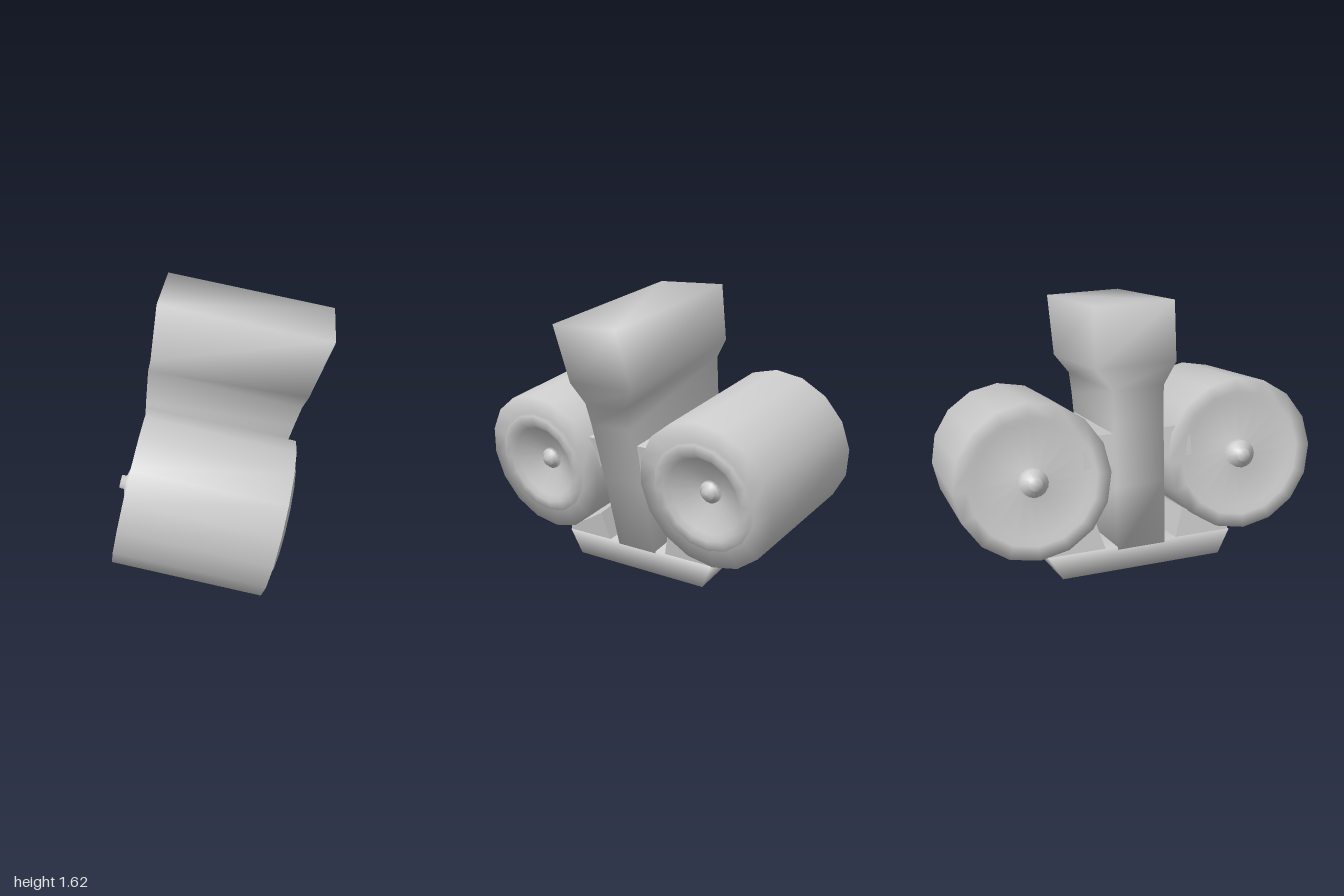
import * as THREE from 'three';

const TILT = THREE.MathUtils.degToRad(-12.5);
const CENTRE = new THREE.Vector3(-0.09, 0.665, 0);
const material = new THREE.MeshStandardMaterial({ color: 0xcccccc });

function addMesh(parent, name, geometry) {
  const mesh = new THREE.Mesh(geometry, material);
  mesh.name = name;
  parent.add(mesh);
  return mesh;
}

// Smooth four-sided loft; each level is [leftX, leftY, rightX, rightY, halfWidth], bottom to top
function loft(levels) {
  const pos = [], index = [];
  for (const [xl, yl, xr, yr, w] of levels) {
    pos.push(xl, yl, w, xr, yr, w, xr, yr, -w, xl, yl, -w);
  }
  const quad = (a, b, c, d) => index.push(a, b, c, a, c, d);
  for (let i = 0; i < levels.length - 1; i++) {
    for (let j = 0; j < 4; j++) {
      const k = (j + 1) % 4;
      quad(i * 4 + j, i * 4 + k, i * 4 + 4 + k, i * 4 + 4 + j);
    }
  }
  const t = (levels.length - 1) * 4;
  quad(3, 2, 1, 0);
  quad(t, t + 1, t + 2, t + 3);
  const g = new THREE.BufferGeometry();
  g.setAttribute('position', new THREE.Float32BufferAttribute(pos, 3));
  g.setIndex(index);
  g.computeVertexNormals();
  return g;
}

// Wedge between foot and drum, sheared to follow the slope of the foot
function cradleGeometry() {
  const wedge = new THREE.Shape();
  wedge.moveTo(0.2, 0);
  wedge.lineTo(0.25, 0.17);
  wedge.lineTo(0.36, 0.11);
  wedge.lineTo(0.515, 0.04);
  wedge.lineTo(0.515, 0);
  const g = new THREE.ExtrudeGeometry(wedge, { depth: 0.64, bevelEnabled: false });
  const p = g.attributes.position;
  for (let i = 0; i < p.count; i++) {
    const z = p.getX(i), y = p.getY(i), along = p.getZ(i);
    p.setXYZ(i, 0.135 - along + y * 0.2, 0.13 + y + along * 0.265, z);
  }
  g.computeVertexNormals();
  return g;
}

export function createModel() {
  const model = new THREE.Group();
  model.name = 'twinDrumBracket';

  // Upright fin flaring into the wide head
  addMesh(model, 'uprightAndHead', loft([
    [-0.515, 0.26, 0.13, 0.10, 0.135],
    [-0.485, 0.66, 0.26, 0.55, 0.135],
    [-0.455, 1.00, 0.365, 0.88, 0.135],
    [-0.435, 1.19, 0.405, 1.00, 0.14],
    [-0.405, 1.30, 0.44, 1.11, 0.22],
    [-0.36, 1.62, 0.565, 1.44, 0.22],
  ]));

  // Sloping foot, narrower underneath
  addMesh(model, 'foot', loft([
    [-0.53, 0.18, 0.12, 0.00, 0.45],
    [-0.51, 0.31, 0.14, 0.14, 0.52],
  ]));

  // Drum outline: stepped hub and shallow dish on one end, raised rim and dished cone on the other
  const profile = [
    [0, -0.45], [0.035, -0.45], [0.037, -0.425], [0.075, -0.415], [0.077, -0.355],
    [0.31, -0.38], [0.345, -0.395], [0.42, -0.395], [0.42, 0.395], [0.31, 0.395],
    [0.305, 0.42], [0.25, 0.42], [0.22, 0.395], [0.065, 0.32], [0.06, 0.345],
    [0.04, 0.35], [0.035, 0.37], [0, 0.375],
  ].map(([r, a]) => new THREE.Vector2(r, a));
  const drumGeometry = new THREE.LatheGeometry(profile, 16);
  const linkGeometry = new THREE.BoxGeometry(0.74, 0.17, 0.2);
  const wedgeGeometry = cradleGeometry();

  for (const side of [1, -1]) {
    const label = side > 0 ? 'front' : 'back';
    const drum = addMesh(model, label + 'Drum', drumGeometry);
    drum.position.set(CENTRE.x, CENTRE.y, side * 0.58);
    drum.rotation.z = TILT - Math.PI / 2;

    // Bar joining the drum to the upright
    const link = addMesh(model, label + 'Link', linkGeometry);
    link.position.set(CENTRE.x + 0.01, CENTRE.y + 0.115, side * 0.2);
    link.rotation.z = TILT;

    // Cradle, mirrored for the back drum
    addMesh(model, label + 'Cradle', wedgeGeometry).scale.z = side;
  }
  return model;
}
